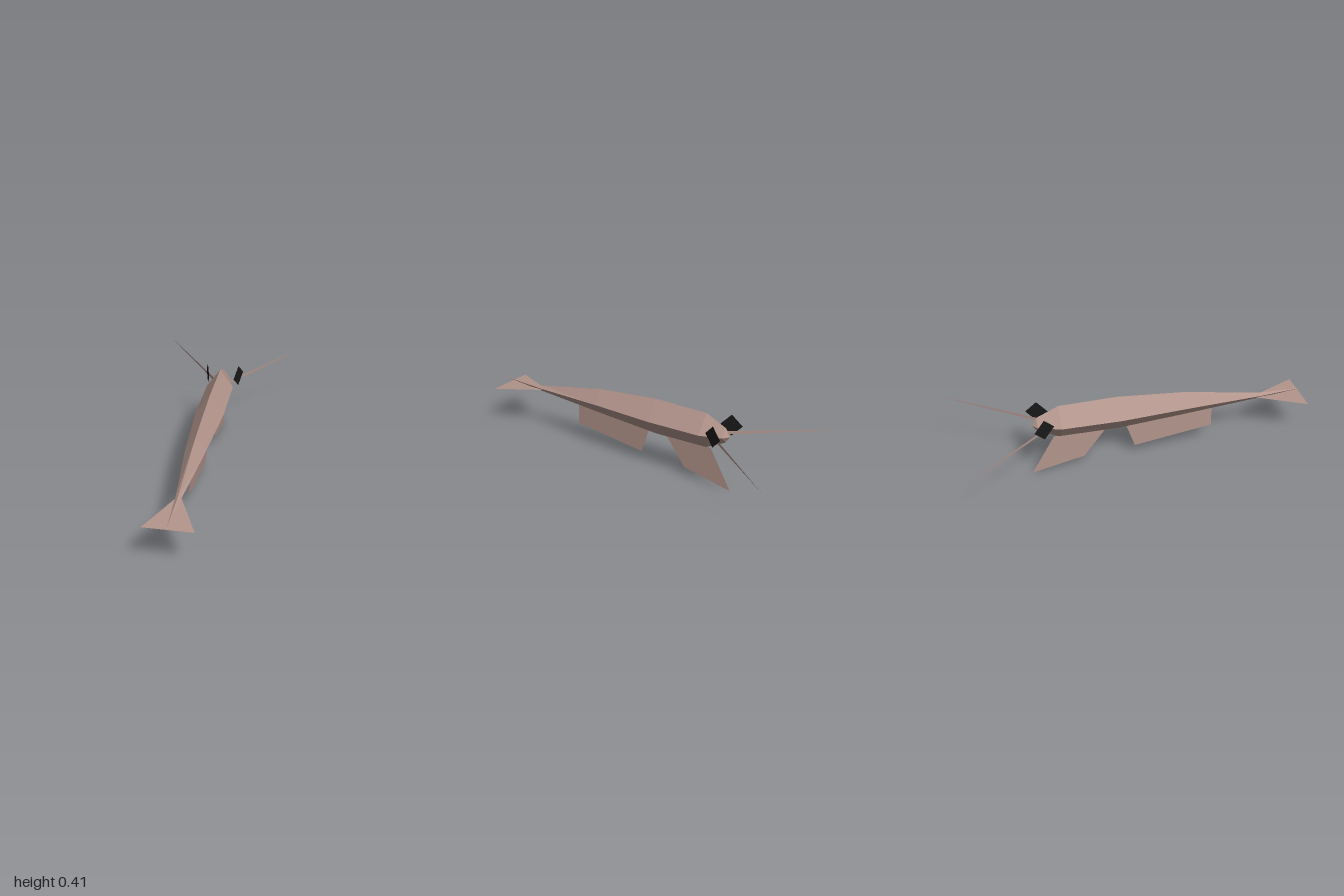
import * as THREE from 'three';

const skin = new THREE.MeshStandardMaterial({ name: 'dusty pink shell', color: 0xb3958c, flatShading: true, side: THREE.DoubleSide });
const black = new THREE.MeshStandardMaterial({ name: 'eye black', color: 0x191919, flatShading: true, side: THREE.DoubleSide });

// flat convex panel fanned from its first corner
function panel(name, corners) {
  const pos = [];
  for (let i = 1; i < corners.length - 1; i++) pos.push(...corners[0], ...corners[i], ...corners[i + 1]);
  const geo = new THREE.BufferGeometry();
  geo.setAttribute('position', new THREE.Float32BufferAttribute(pos, 3));
  geo.computeVertexNormals();
  const mesh = new THREE.Mesh(geo, skin);
  mesh.name = name;
  return mesh;
}

// body: diamond cross-sections joined from tail to head
function makeBody() {
  // z, half width, side edge y, top y, bottom y
  const stations = [
    [1, 0, 0.245, 0.245, 0.245],
    [0.73, 0.016, 0.25, 0.264, 0.23],
    [0.3, 0.055, 0.28, 0.355, 0.21],
    [-0.08, 0.077, 0.293, 0.4, 0.196],
    [-0.4, 0.073, 0.305, 0.406, 0.211],
    [-0.52, 0.032, 0.308, 0.355, 0.272],
    [-0.545, 0, 0.31, 0.31, 0.31],
  ];
  const rings = stations.map(([z, w, side, top, bottom]) =>
    [[0, top, z], [w, side, z], [0, bottom, z], [-w, side, z]]);
  const pos = [];
  for (let i = 0; i < rings.length - 1; i++) {
    for (let j = 0; j < 4; j++) {
      const k = (j + 1) % 4;
      const a = rings[i][j], b = rings[i][k], c = rings[i + 1][k], d = rings[i + 1][j];
      if (i > 0) pos.push(...a, ...b, ...c);
      else { pos.push(...a, ...c, ...d); continue; }
      if (i < rings.length - 2) pos.push(...a, ...c, ...d);
    }
  }
  // reverse each triangle so the faces look outward
  for (let t = 0; t < pos.length; t += 9) {
    for (let n = 0; n < 3; n++) [pos[t + 3 + n], pos[t + 6 + n]] = [pos[t + 6 + n], pos[t + 3 + n]];
  }
  const geo = new THREE.BufferGeometry();
  geo.setAttribute('position', new THREE.Float32BufferAttribute(pos, 3));
  geo.computeVertexNormals();
  const mesh = new THREE.Mesh(geo, skin);
  mesh.name = 'body';
  return mesh;
}

export function createModel() {
  const model = new THREE.Group();
  model.name = 'shrimp';
  model.add(makeBody());

  // flat tail fan
  model.add(panel('tailFan', [[0, 0.245, 0.69], [-0.13, 0.223, 0.977], [0.13, 0.223, 0.977]]));

  // leg panels under the centre line
  model.add(panel('swimmingLegs', [[0, 0.225, 0.46], [0, 0.105, 0.46], [0, 0.06, 0.02], [0, 0.205, -0.03]]));
  model.add(panel('walkingLegs', [[0, 0.205, -0.145], [0, 0.05, -0.265], [0, 0, -0.555], [0, 0.215, -0.43]]));

  for (const s of [1, -1]) {
    const side = s > 0 ? 'left' : 'right';
    // long upright sliver feelers
    model.add(panel(side + 'Antenna', [[s * 0.03, 0.289, -0.46], [s * 0.425, 0.321, -1], [s * 0.03, 0.309, -0.46]]));

    // diamond eye plates, splayed outward toward the head
    const eye = new THREE.Mesh(new THREE.CircleGeometry(0.06, 4), black);
    eye.name = side + 'Eye';
    eye.position.set(s * 0.088, 0.332, -0.498);
    eye.rotation.y = Math.atan2(0.057, s * 0.018);
    model.add(eye);
  }
  return model;
}
